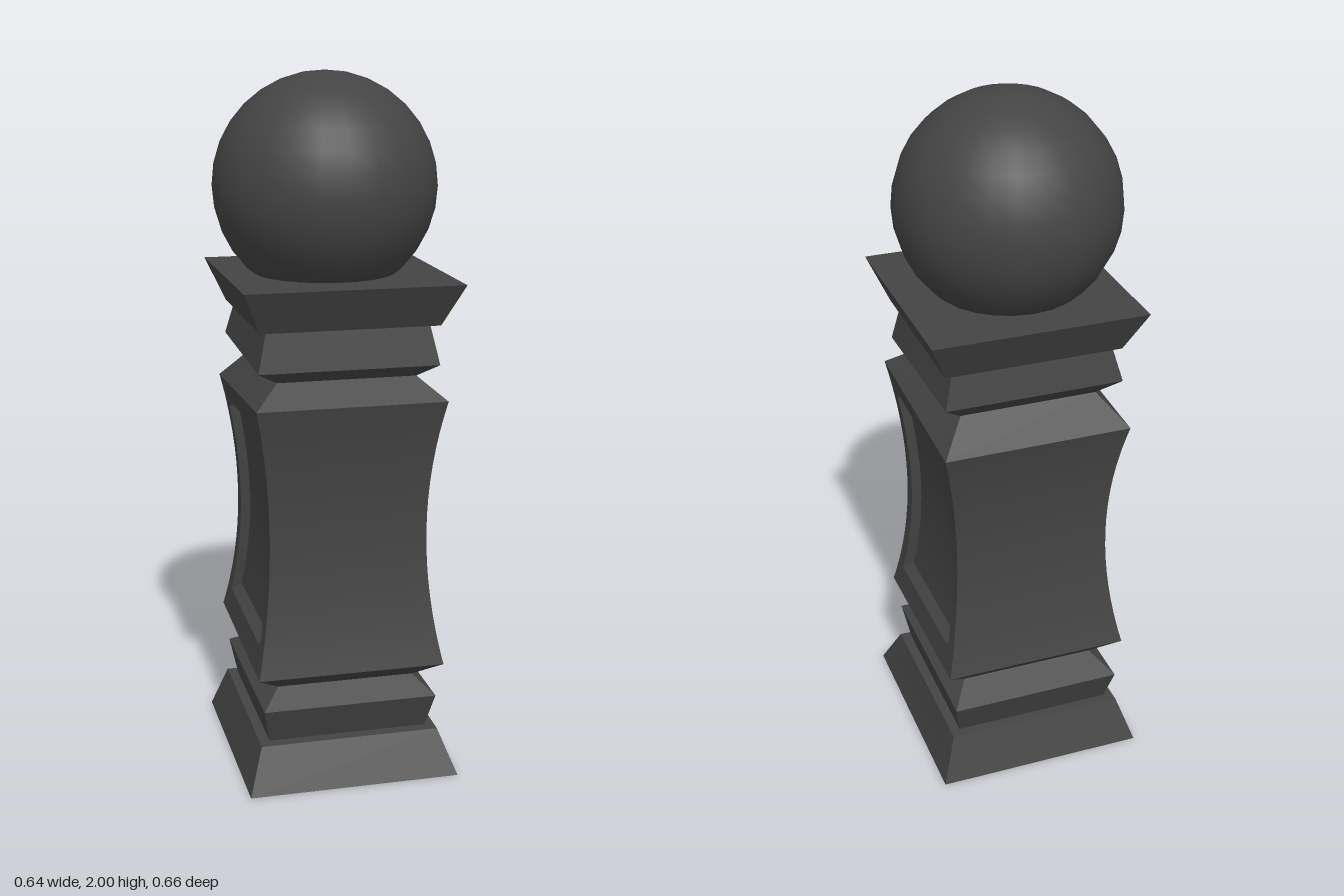
import * as THREE from 'three';
import { toCreasedNormals } from 'three/addons/utils/BufferGeometryUtils.js';

const CX = 0.01; // the column stands slightly off the axis

// Rectangular ring, six points along each x side so that a panel can be sunk into it.
// tilt raises the front edge and lowers the back edge by the same amount.
function ring(y, hx, hz, { cz = 0, tilt = 0, margin = 0.045, bevel = 0.016, depth = 0 } = {}) {
  const zs = [hz, hz - margin, hz - margin - bevel];
  const side = [...zs, ...zs.map((z) => -z).reverse()];
  const sunk = [0, 0, depth, depth, 0, 0];
  const point = (s, z, i) => [CX + s * (hx - sunk[i]), y + (tilt * z) / hz, cz + z];
  return [
    ...side.map((z, i) => point(1, z, i)),
    ...side.map((z, i) => point(-1, -z, i)),
  ];
}

// Skin a stack of rings from bottom to top and close both ends.
function loft(rings) {
  const n = rings[0].length;
  const positions = rings.flat(2);
  const index = [];
  for (let r = 0; r < rings.length - 1; r++) {
    for (let j = 0; j < n; j++) {
      const a = r * n + j;
      const b = r * n + ((j + 1) % n);
      index.push(a, b, b + n, a, b + n, a + n);
    }
  }
  const last = (rings.length - 1) * n;
  for (let j = 1; j < n - 1; j++) {
    index.push(0, j + 1, j, last, last + j, last + j + 1);
  }
  const geometry = new THREE.BufferGeometry();
  geometry.setAttribute('position', new THREE.Float32BufferAttribute(positions, 3));
  geometry.setIndex(index);
  return toCreasedNormals(geometry, 0.4);
}

// Shaft with concave sides and a sunken panel on the left and right.
function shaftRings() {
  const y0 = 0.344;
  const y1 = 1.102;
  const row = (y, depth = 0) => {
    const t = (y - y0) / (y1 - y0);
    const waist = 1 - (2 * t - 1) ** 2;
    return ring(y, 0.27 - 0.043 * waist, 0.289 - 0.049 * waist, {
      tilt: THREE.MathUtils.lerp(-0.01, 0.012, t),
      depth,
    });
  };
  const rings = [ring(0.277, 0.2, 0.206), row(y0), row(0.38), row(0.418)];
  const steps = 12;
  for (let i = 0; i <= steps; i++) {
    rings.push(row(THREE.MathUtils.lerp(0.44, 1.015, i / steps), 0.025));
  }
  rings.push(row(1.038), row(1.07), row(y1), ring(1.175, 0.198, 0.209, { cz: 0.005 }));
  return rings;
}

export function createModel() {
  const group = new THREE.Group();
  const material = new THREE.MeshStandardMaterial({ color: 0x444444 });
  const add = (name, geometry) => {
    const mesh = new THREE.Mesh(geometry, material);
    mesh.name = name;
    group.add(mesh);
    return mesh;
  };

  // Flared foot
  add('base', loft([
    ring(0, 0.306, 0.331),
    ring(0.127, 0.261, 0.274, { cz: -0.008, tilt: -0.004 }),
  ]));

  // Collar below the shaft
  add('lowerCollar', loft([
    ring(0.125, 0.232, 0.243, { cz: -0.008 }),
    ring(0.23, 0.253, 0.28, { cz: -0.008 }),
    ring(0.277, 0.2, 0.206),
  ]));

  add('shaft', loft(shaftRings()));

  // Collar above the shaft
  add('upperCollar', loft([
    ring(1.175, 0.198, 0.209, { cz: 0.005 }),
    ring(1.217, 0.256, 0.253, { cz: -0.003, tilt: -0.008 }),
    ring(1.325, 0.23, 0.232, { cz: -0.002 }),
  ]));

  // Flared cap
  add('cap', loft([
    ring(1.323, 0.253, 0.255, { cz: 0.005 }),
    ring(1.443, 0.306, 0.315, { cz: 0.006 }),
  ]));

  // Ball finial
  add('ball', new THREE.SphereGeometry(0.316, 24, 16)).position.set(-0.004, 1.684, 0.004);

  return group;
}
